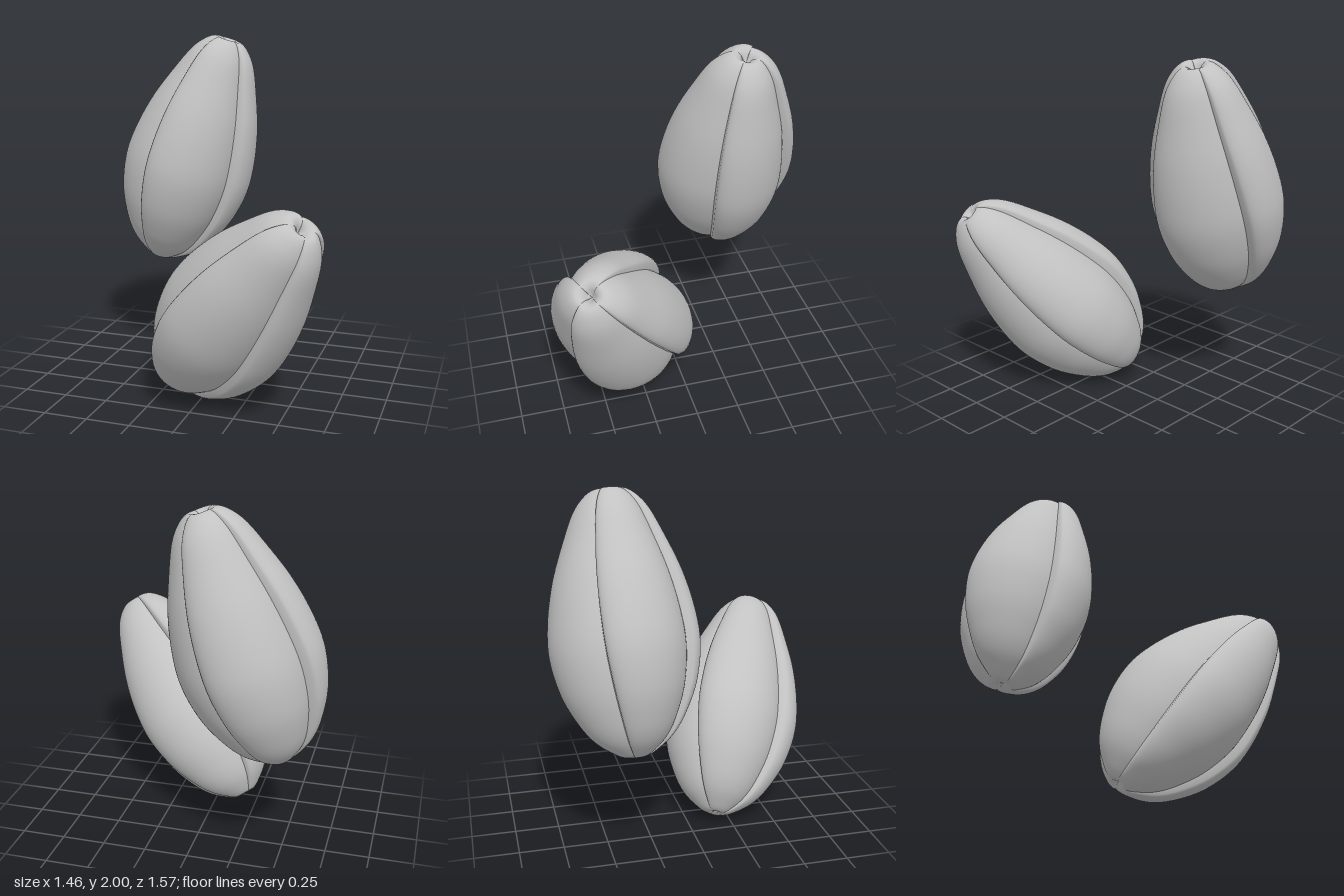
import * as THREE from 'three';

// Half outline of a bud: radius at a lobe's ridge, height along the axis
const OUTLINE = [
  [0, 0.015], [0.06, 0], [0.13, 0.035], [0.212, 0.1], [0.285, 0.2], [0.36, 0.36],
  [0.4, 0.56], [0.388, 0.75], [0.34, 0.96], [0.26, 1.17], [0.2, 1.3],
  [0.14, 1.375], [0.085, 1.41], [0.045, 1.4], [0.015, 1.365], [0, 1.35],
];
const LOBES = 4;

// One petal: a quarter lathe whose ridge lies near one edge, so that the
// petals overlap like a pinwheel and meet in sharp, slightly twisted grooves
function petalGeometry() {
  const curve = new THREE.SplineCurve(OUTLINE.map(([r, y]) => new THREE.Vector2(r, y)));
  const points = curve.getPoints(90).map((p) => new THREE.Vector2(Math.max(p.x, 0), p.y));
  const arc = (Math.PI * 2) / LOBES;
  const geometry = new THREE.LatheGeometry(points, 40, -arc / 2, arc);
  const pos = geometry.attributes.position;
  const offset = 0.38, radius = 0.62;
  for (let i = 0; i < pos.count; i++) {
    const x = pos.getX(i), y = pos.getY(i), z = pos.getZ(i);
    const angle = Math.atan2(x, z);
    const across = THREE.MathUtils.clamp(angle / arc + 0.5, 0, 1);
    const a = (across ** 0.48 - 0.5) * arc;
    const s = offset * Math.cos(a) + Math.sqrt(radius ** 2 - (offset * Math.sin(a)) ** 2);
    const r = Math.hypot(x, z) * s;
    const twisted = angle + 0.2 * (0.7 - y);
    pos.setX(i, r * Math.sin(twisted));
    pos.setZ(i, r * Math.cos(twisted));
  }
  geometry.computeVertexNormals();
  return geometry;
}

// A bud standing from base to tip, turned about its own axis by spin degrees
function makeBud(name, geometry, material, base, tip, spin) {
  const bud = new THREE.Group();
  bud.name = name;
  for (let i = 0; i < LOBES; i++) {
    const petal = new THREE.Mesh(geometry, material);
    petal.name = 'petal' + (i + 1);
    petal.rotation.y = THREE.MathUtils.degToRad(spin) + (i * Math.PI * 2) / LOBES;
    bud.add(petal);
  }
  const axis = tip.clone().sub(base).normalize();
  const front = new THREE.Vector3(0, 0, 1).addScaledVector(axis, -axis.z).normalize();
  const side = axis.clone().cross(front);
  bud.quaternion.setFromRotationMatrix(new THREE.Matrix4().makeBasis(side, axis, front));
  bud.position.copy(base);
  return bud;
}

export function createModel() {
  const model = new THREE.Group();
  model.name = 'buds';
  const grey = new THREE.MeshStandardMaterial({ color: 0xc2c2c2 });
  grey.name = 'budGrey';
  grey.side = THREE.DoubleSide;
  const petal = petalGeometry();
  const v = (x, y, z) => new THREE.Vector3(x, y, z);
  model.add(makeBud('upperBud', petal, grey, v(-0.505, 0.62, -0.375), v(-0.07, 1.97, -0.42), 17));
  model.add(makeBud('lowerBud', petal, grey, v(-0.19, 0.06, 0.155), v(0.64, 1.1, 0.615), -3));
  return model;
}
